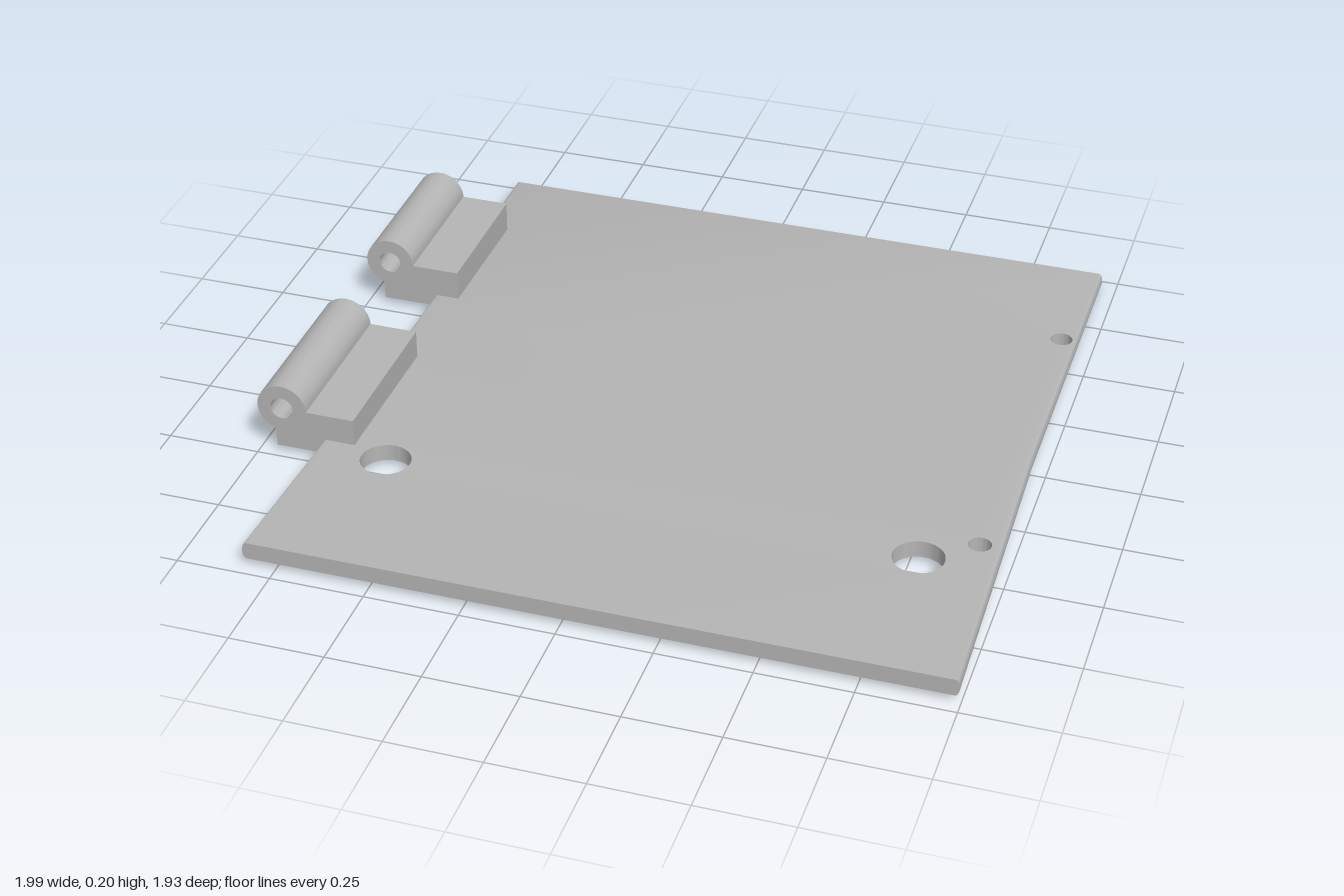
import * as THREE from 'three';
import { toCreasedNormals } from 'three/addons/utils/BufferGeometryUtils.js';

const metal = new THREE.MeshStandardMaterial({ color: 0xb5b5b5 });
metal.name = 'grey metal';

const addHole = (shape, x, y, r) =>
  shape.holes.push(new THREE.Path().absarc(x, y, r, 0, Math.PI * 2, true));

function part(name, geometry) {
  const mesh = new THREE.Mesh(toCreasedNormals(geometry, 0.6), metal);
  mesh.name = name;
  return mesh;
}

// Drilled plate with rounded long sides, flaring and rising gently to the front
function makePlate() {
  const outline = [
    [-0.837, 0.963], [0.995, 0.963], [0.964, 0], [0.96, -0.963], [-0.803, -0.963], [-0.805, 0],
  ].map(([x, z]) => new THREE.Vector2(x, -z));
  const shape = new THREE.Shape(outline);
  const holes = [[-0.63, 0.515, 0.067], [0.785, 0.515, 0.067], [0.918, -0.588, 0.03], [0.918, 0.417, 0.03]];
  for (const [x, z, r] of holes) addHole(shape, x, -z, r);

  const geometry = new THREE.ExtrudeGeometry(shape, { depth: 2, steps: 10, bevelEnabled: false, curveSegments: 24 });
  geometry.translate(0, 0, -1).rotateX(-Math.PI / 2);

  // Turn the layers into an elliptical edge on both sides, then tilt the plate
  const halfThickness = 0.0235, edgeRadius = 0.011;
  const p = geometry.attributes.position;
  for (let i = 0; i < p.count; i++) {
    const x = p.getX(i), z = p.getZ(i), a = p.getY(i) * Math.PI / 2;
    const inset = edgeRadius * (1 - Math.cos(a));
    const side = x < -0.79 ? 1 : x > 0.955 ? -1 : 0;
    const middle = 0.033 + 0.0095 * z / 0.963;
    p.setXYZ(i, x + side * inset, middle + halfThickness * Math.sin(a), z);
  }
  return part('plate', geometry);
}

// Hinge knuckle: block and bored barrel in one profile
function makeHinge(name, zBack, zFront) {
  const cx = -0.932, cy = 0.136, r = 0.068;
  const shape = new THREE.Shape();
  shape.moveTo(-0.952, 0.018);
  shape.lineTo(-0.732, 0.018);
  shape.lineTo(-0.732, cy);
  shape.lineTo(cx + r, cy);
  shape.absarc(cx, cy, r, 0, Math.PI + Math.acos(0.02 / r), false);
  addHole(shape, cx, cy, 0.031);
  const geometry = new THREE.ExtrudeGeometry(shape, { depth: zFront - zBack, bevelEnabled: false, curveSegments: 24 });
  geometry.translate(0, 0, zBack);
  return part(name, geometry);
}

export function createModel() {
  const model = new THREE.Group();
  model.name = 'hingedPlate';
  model.add(
    makePlate(),
    makeHinge('backHinge', -0.69, -0.288),
    makeHinge('frontHinge', 0.027, 0.477),
  );
  return model;
}
